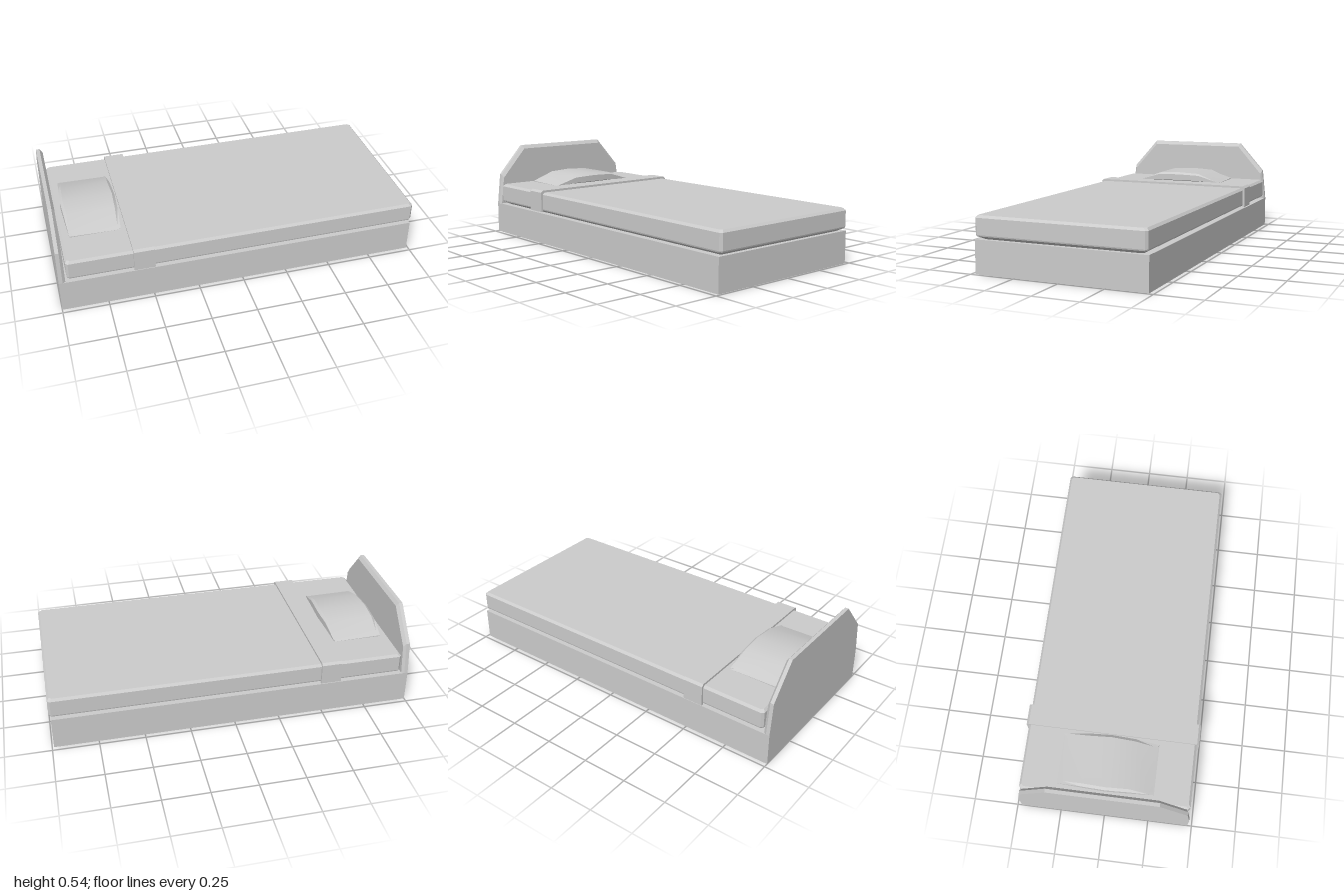
import * as THREE from 'three';
import { toCreasedNormals } from 'three/addons/utils/BufferGeometryUtils.js';

const material = new THREE.MeshStandardMaterial({ color: 0xcccccc });
const openMaterial = new THREE.MeshStandardMaterial({ color: 0xcccccc, side: THREE.DoubleSide });

// Skin convex cross-sections (counterclockwise seen from the last one) and cap both ends
function loft(rings, crease = 0.2) {
  const n = rings[0].length;
  const last = (rings.length - 1) * n;
  const index = [];
  for (let r = 0; r < rings.length - 1; r++) {
    for (let i = 0; i < n; i++) {
      const a = r * n + i;
      const b = r * n + ((i + 1) % n);
      index.push(a, b, b + n, a, b + n, a + n);
    }
  }
  for (let i = 1; i < n - 1; i++) {
    index.push(0, i + 1, i, last, last + i, last + i + 1);
  }
  const geometry = new THREE.BufferGeometry();
  geometry.setAttribute('position', new THREE.Float32BufferAttribute(rings.flat(2), 3));
  geometry.setIndex(index);
  return toCreasedNormals(geometry, crease);
}

// Horizontal rectangle with clipped corners
function clippedRect(y, x0, x1, hz, inset, c = 0.012) {
  x0 += inset; x1 -= inset; hz -= inset;
  return [
    [x0 + c, y, hz], [x1 - c, y, hz], [x1, y, hz - c], [x1, y, -hz + c],
    [x1 - c, y, -hz], [x0 + c, y, -hz], [x0, y, -hz + c], [x0, y, hz - c],
  ];
}

// Headboard outline at one depth; the inset shapes the bevelled rim
function headboardOutline(x, inset) {
  const half = [[0.475 - inset * 0.4, 0.18], [0.455 - inset * 0.4, 0.362 - inset], [0.3 - inset * 0.35, 0.536 - inset]];
  const left = half.map(([z, y]) => [x, y, z]);
  const right = half.map(([z, y]) => [x, y, -z]).reverse();
  return [...right, ...left].reverse();
}

// Pillow cross-section: flat belly, soft sides and a rounded-off top
function pillowSection(z, top, w) {
  const cx = -0.767, bottom = 0.306, h = top - bottom;
  const inner = z * 0.96;
  return [
    [cx + w, bottom + h * 0.2, z], [cx + w, top - h * 0.2, z],
    [cx + w - 0.015, top, inner], [cx - w + 0.015, top, inner],
    [cx - w, top - h * 0.2, z], [cx - w, bottom + h * 0.2, z],
    [cx - w + 0.05, bottom, inner], [cx + w - 0.05, bottom, inner],
  ];
}

export function createModel() {
  const group = new THREE.Group();
  const add = (name, geometry, mat = material) => {
    const mesh = new THREE.Mesh(geometry, mat);
    mesh.name = name;
    group.add(mesh);
    return mesh;
  };

  // Box base
  add('base', new THREE.BoxGeometry(1.99, 0.18, 0.95)).position.set(-0.005, 0.09, 0);

  // Headboard, bevelled towards the mattress
  add('headboard', loft([
    headboardOutline(-1, 0), headboardOutline(-0.98, 0), headboardOutline(-0.965, 0.02),
  ].map((ring) => ring.slice().reverse()).map(orientAlongX)));

  // Mattress with chamfered edges and an undercut bottom
  const layers = [[0.18, 0.035], [0.198, 0.002], [0.205, 0], [0.292, 0], [0.305, 0.012]];
  add('mattress', loft(layers.map(([y, inset]) => clippedRect(y, -0.955, 0.998, 0.47, inset))));

  // Folded blanket band wrapped over the mattress
  const outer = [[-0.483, 0.19], [-0.483, 0.305], [-0.47, 0.317], [0.47, 0.317], [0.483, 0.305], [0.483, 0.19]];
  const inner = [[0.471, 0.19], [0.471, 0.295], [0.46, 0.304], [-0.46, 0.304], [-0.471, 0.295], [-0.471, 0.19]];
  const band = new THREE.Shape([...outer, ...inner].map(([z, y]) => new THREE.Vector2(z, y)));
  const bandGeometry = new THREE.ExtrudeGeometry(band, { depth: 0.113, bevelEnabled: false });
  bandGeometry.rotateY(Math.PI / 2).translate(-0.6, 0, 0);
  add('blanketFold', bandGeometry, openMaterial);

  // Arched pillow, smooth along its length
  const halfPillow = [[0.265, 0.314, 0.138], [0.245, 0.321, 0.14], [0.135, 0.362, 0.147]];
  const sections = [
    ...halfPillow.map(([z, top, w]) => pillowSection(-z, top, w)),
    pillowSection(0, 0.368, 0.153),
    ...halfPillow.slice().reverse().map(([z, top, w]) => pillowSection(z, top, w)),
  ];
  add('pillow', loft(sections, 0.45));

  return group;
}

// Order a ring in the y-z plane counterclockwise seen from +x
function orientAlongX(ring) {
  let area = 0;
  ring.forEach(([, y, z], i) => {
    const [, y2, z2] = ring[(i + 1) % ring.length];
    area += y * z2 - y2 * z;
  });
  return area > 0 ? ring : ring.slice().reverse();
}
